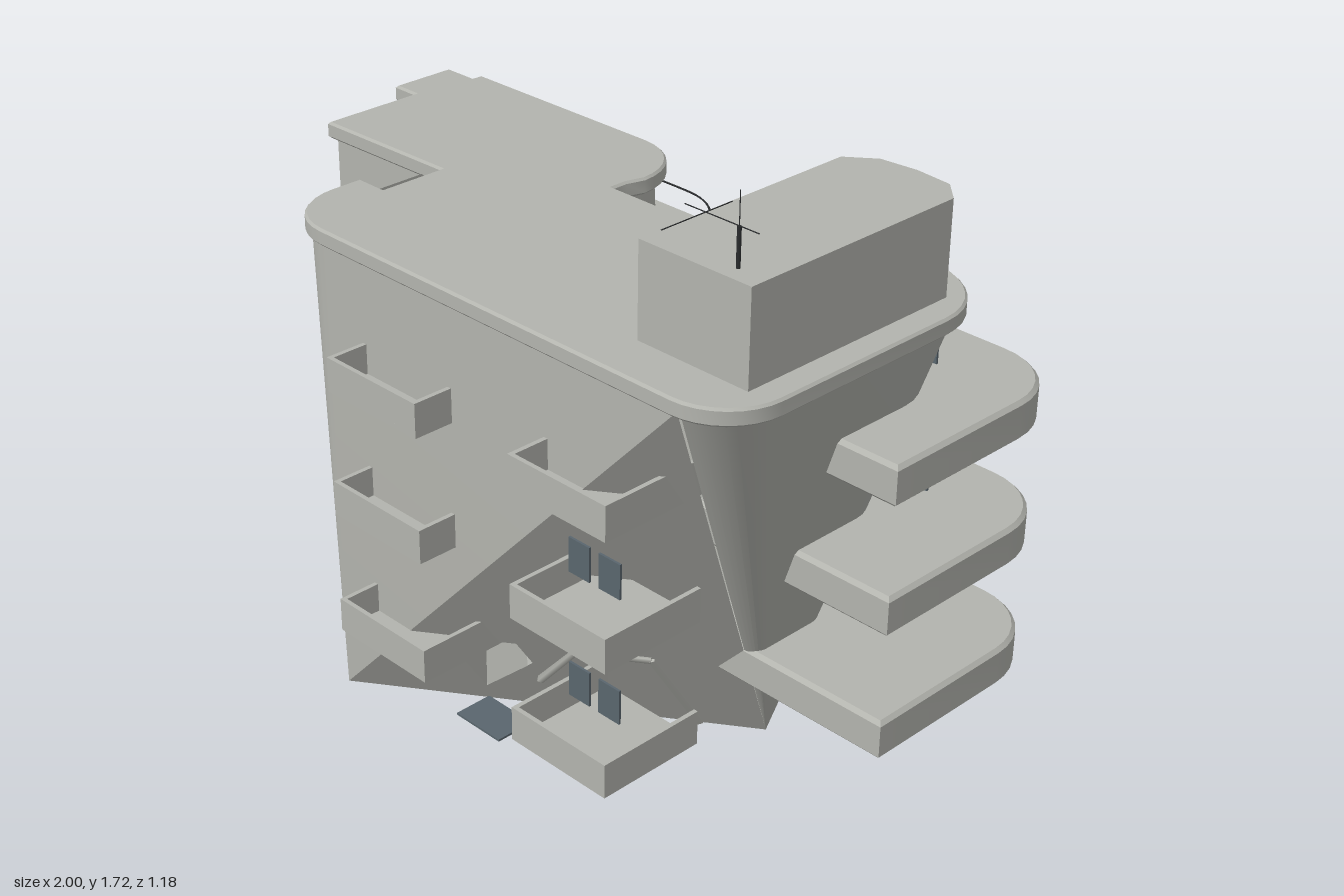
import * as THREE from 'three';
import { toCreasedNormals } from 'three/addons/utils/BufferGeometryUtils.js';

const mat = (name, color, side = THREE.FrontSide) => {
  const m = new THREE.MeshStandardMaterial({ color, side });
  m.name = name;
  return m;
};

// Points on a quarter (or longer) ellipse in plan; angle 0 is +x, 90 is +z
const arc = (cx, cz, rx, rz, a0, a1, n = 8) => Array.from({ length: n + 1 }, (_, i) => {
  const a = THREE.MathUtils.degToRad(a0 + (a1 - a0) * i / n);
  return [cx + rx * Math.cos(a), cz + rz * Math.sin(a)];
});

// Horizontal slab from a plan outline of [x, z]
function slab(plan, y0, y1, bevel = 0) {
  const shape = new THREE.Shape(plan.map(([x, z]) => new THREE.Vector2(x, -z)));
  const g = new THREE.ExtrudeGeometry(shape, {
    depth: y1 - y0 - 2 * bevel, bevelEnabled: bevel > 0, bevelSize: bevel,
    bevelThickness: bevel, bevelOffset: -bevel, bevelSegments: 1,
  });
  g.rotateX(-Math.PI / 2).translate(0, y0 + bevel, 0);
  return toCreasedNormals(g, 0.4);
}

// Flat convex polygon from 3D corners
function polygon(...p) {
  const v = [];
  for (let i = 1; i < p.length - 1; i++) v.push(...p[0], ...p[i], ...p[i + 1]);
  const g = new THREE.BufferGeometry();
  g.setAttribute('position', new THREE.Float32BufferAttribute(v, 3));
  g.computeVertexNormals();
  return g;
}

// Straight bar between two points
function bar(a, b, r, sides = 4) {
  const p = new THREE.Vector3(...a), q = new THREE.Vector3(...b);
  const d = q.clone().sub(p);
  const g = new THREE.CylinderGeometry(r, r, d.length(), sides);
  g.applyQuaternion(new THREE.Quaternion().setFromUnitVectors(new THREE.Vector3(0, 1, 0), d.normalize()));
  const c = p.add(q).multiplyScalar(0.5);
  return g.translate(c.x, c.y, c.z);
}

export function createModel() {
  const model = new THREE.Group();
  const concrete = mat('concrete', 0xb3b4ae, THREE.DoubleSide);
  const glass = mat('slate glass', 0x5a666e);
  const metal = mat('dark metal', 0x2a2c2e);
  const add = (name, geo, m = concrete, parent = model) => {
    const mesh = new THREE.Mesh(geo, m);
    mesh.name = name;
    parent.add(mesh);
    return mesh;
  };
  const box = (name, x0, x1, y0, y1, z0, z1, m, parent) => add(name,
    new THREE.BoxGeometry(x1 - x0, y1 - y0, z1 - z0)
      .translate((x0 + x1) / 2, (y0 + y1) / 2, (z0 + z1) / 2), m, parent);

  // Walls: pairs of top and bottom plan points, several tops meeting at one foot
  const H = 1.27, A = [-0.41, 0.48], P = [0.49, -0.15];
  const same = (...pts) => pts.map(p => [p, p]);
  const to = (pts, foot) => pts.map(p => [p, foot]);
  const wingCorner = arc(-0.28, -0.25, 0.18, 0.17, 0, -90).map(([x, z]) =>
    [[x, z], [x + (-0.1 - x) * 0.75, z + (-0.42 - z) * 0.75]]);
  const frontRing = [
    ...same([-0.55, 0.05]),
    ...to(arc(-0.41, 0.34, 0.14, 0.14, 180, 90), A),
    ...to([[0.77, 0.48]], A),
  ];
  const backRing = [
    ...to(arc(0.77, 0.35, 0.13, 0.13, 90, 0), P),
    ...to(arc(0.695, -0.2, 0.205, 0.19, 0, -180, 14), P),
    ...to([[0.49, -0.15]], P),
    ...same([-0.1, -0.15]),
    ...wingCorner,
    ...same([-0.9, -0.42], [-0.9, -0.4], [-0.98, -0.4], [-0.98, -0.25], [-0.9, -0.25], [-0.9, 0.05], [-0.55, 0.05]),
  ];
  const wall = ring => {
    const v = [];
    for (let i = 0; i < ring.length - 1; i++) {
      const [t0, b0] = ring[i], [t1, b1] = ring[i + 1];
      const T0 = [t0[0], H, t0[1]], T1 = [t1[0], H, t1[1]];
      const B0 = [b0[0], 0, b0[1]], B1 = [b1[0], 0, b1[1]];
      if (b0[0] !== b1[0] || b0[1] !== b1[1]) v.push(...B0, ...B1, ...T1);
      if (t0[0] !== t1[0] || t0[1] !== t1[1]) v.push(...B0, ...T1, ...T0);
    }
    const g = new THREE.BufferGeometry();
    g.setAttribute('position', new THREE.Float32BufferAttribute(v, 3));
    return toCreasedNormals(g, 0.35);
  };
  add('frontWall', wall(frontRing));
  add('sideAndBackWalls', wall(backRing));
  const feet = [...frontRing, ...backRing].map(p => p[1])
    .filter((p, i, all) => i === 0 || p[0] !== all[i - 1][0] || p[1] !== all[i - 1][1]).slice(0, -1);
  add('baseSlab', new THREE.ShapeGeometry(
    new THREE.Shape(feet.map(p => new THREE.Vector2(...p)))).rotateX(Math.PI / 2));

  // Leaning front triangle with the entrance opening
  const leanZ = (x, y) => 0.48 - 0.7 * (x + 0.41) + 0.656 * y;
  const vec = list => list.map(p => new THREE.Vector2(...p));
  const lean = new THREE.Shape(vec([[A[0], 0], [P[0], 0], [0.77, H]]));
  const opening = [[-0.08, 0.06], [-0.08, 0.28], [0.075, 0.28], [0.075, 0.197]];
  lean.holes.push(new THREE.Path(vec(opening)));
  const leanGeo = new THREE.ShapeGeometry(lean);
  const pos = leanGeo.attributes.position;
  for (let i = 0; i < pos.count; i++) pos.setZ(i, leanZ(pos.getX(i), pos.getY(i)));
  leanGeo.computeVertexNormals();
  add('leaningFrontWall', leanGeo);

  // Entrance recess behind the opening
  const zb = 0.288;
  const [o0, o1, o2, o3] = opening.map(([x, y]) => [x, y, leanZ(x, y)]);
  const b1 = [-0.08, 0.28, zb], b2 = [0.075, 0.28, zb];
  add('entranceBack', polygon([o0[0], o0[1], zb], [o3[0], o3[1], zb], b2, b1));
  add('entranceLeftSide', polygon(o0, b1, o1));
  add('entranceRightSide', polygon(o3, o2, b2));
  add('entranceCeiling', polygon(o1, b1, b2, o2));
  box('doorstep', -0.1, 0.06, 0, 0.006, 0.265, 0.375, glass);

  // Thin frame around the second entrance
  const frame = [[0.07, 0.13, 0.24], [0.2, 0.28, 0.24], [0.355, 0.28, 0.13], [0.355, 0.005, -0.05]];
  for (let i = 0; i < 3; i++) add('entranceFrame', bar(frame[i], frame[i + 1], 0.011));

  // Roof slab
  add('roof', slab([
    [-1, -0.42], [-1, -0.23], [-0.92, -0.23], [-0.92, 0.065], [-0.48, 0.055], [-0.48, 0.24], [-0.57, 0.24],
    ...arc(-0.4, 0.33, 0.17, 0.17, 180, 90), ...arc(0.76, 0.335, 0.165, 0.165, 90, 0),
    ...arc(0.7, -0.2, 0.225, 0.21, 0, -180, 18), [0.475, -0.175], [-0.1, -0.175], [-0.1, -0.22],
    ...arc(-0.26, -0.27, 0.175, 0.18, 0, -90), [-0.9, -0.45], [-0.9, -0.42],
  ], 1.26, 1.305, 0.006));

  // Rooftop block with clipped back corners
  add('penthouse', slab([
    [0.53, 0.365], [0.855, 0.365], [0.855, -0.28], [0.8, -0.335], [0.7, -0.345], [0.6, -0.335], [0.53, -0.28],
  ], 1.3, 1.545));

  // Antenna
  const aerial = new THREE.Group();
  aerial.name = 'antenna';
  model.add(aerial);
  add('mast', bar([0.775, 1.545, 0.32], [0.775, 1.64, 0.32], 0.005, 6), metal, aerial);
  add('mastTip', bar([0.775, 1.64, 0.32], [0.775, 1.72, 0.32], 0.0015), metal, aerial);
  add('crossRod', bar([0.62, 1.64, 0.32], [0.83, 1.64, 0.32], 0.0015), metal, aerial);
  add('longRod', bar([0.68, 1.64, 0.24], [0.68, 1.64, 0.45], 0.0015), metal, aerial);

  // Balconies on each floor
  const bigPlan = [[0.395, 0.035], [1, 0.035], ...arc(0.81, -0.4, 0.19, 0.193, 0, -90),
    ...arc(0.59, -0.4, 0.195, 0.193, -90, -180)];
  const wingPlan = [[-0.59, -0.38], [-0.15, -0.17], [0.04, -0.17],
    ...arc(-0.16, -0.32, 0.2, 0.195, 0, -90), [-0.59, -0.515]];
  const railPath = [...arc(-0.16, -0.32, 0.185, 0.18, -10, -90), [-0.35, -0.5], [-0.55, -0.5]];
  for (let floor = 0; floor < 3; floor++) {
    const y = 0.272 + floor * 0.338;
    add('cornerBalcony', slab(bigPlan, y, y + 0.105, 0.01));
    add('wingBalcony', slab(wingPlan, y + 0.06, y + 0.16));
    const curve = new THREE.CatmullRomCurve3(railPath.map(([x, z]) => new THREE.Vector3(x, y + 0.23, z)));
    add('wingRail', new THREE.TubeGeometry(curve, 32, 0.003, 4), metal);

    // Open trays on the front
    for (const [x0, x1] of [[-0.28, 0.04], [0.355, 0.665]]) {
      const tray = new THREE.Group(), t = 0.012, y0 = y + 0.002, y1 = y + 0.093;
      tray.name = 'frontBalcony';
      model.add(tray);
      box('floor', x0, x1, y0, y0 + t, 0.29, 0.59, concrete, tray);
      box('frontParapet', x0, x1, y0, y1, 0.59 - t, 0.59, concrete, tray);
      box('sideParapet', x0, x0 + t, y0, y1, 0.29, 0.59, concrete, tray);
      box('sideParapet', x1 - t, x1, y0, y1, 0.29, 0.59, concrete, tray);
    }

    // Window pairs
    for (const x of [0.64, 0.73]) box('towerWindow', x, x + 0.068, y + 0.147, y + 0.235, -0.343, -0.337, glass);
    if (floor < 2) {
      for (const x of [0.425, 0.523]) box('frontWindow', x, x + 0.068, y + 0.108, y + 0.2, 0.467, 0.473, glass);
      for (const x of [-0.36, -0.455]) box('wingWindow', x, x + 0.068, y + 0.18, y + 0.27, -0.427, -0.421, glass);
    }
  }
  return model;
}
